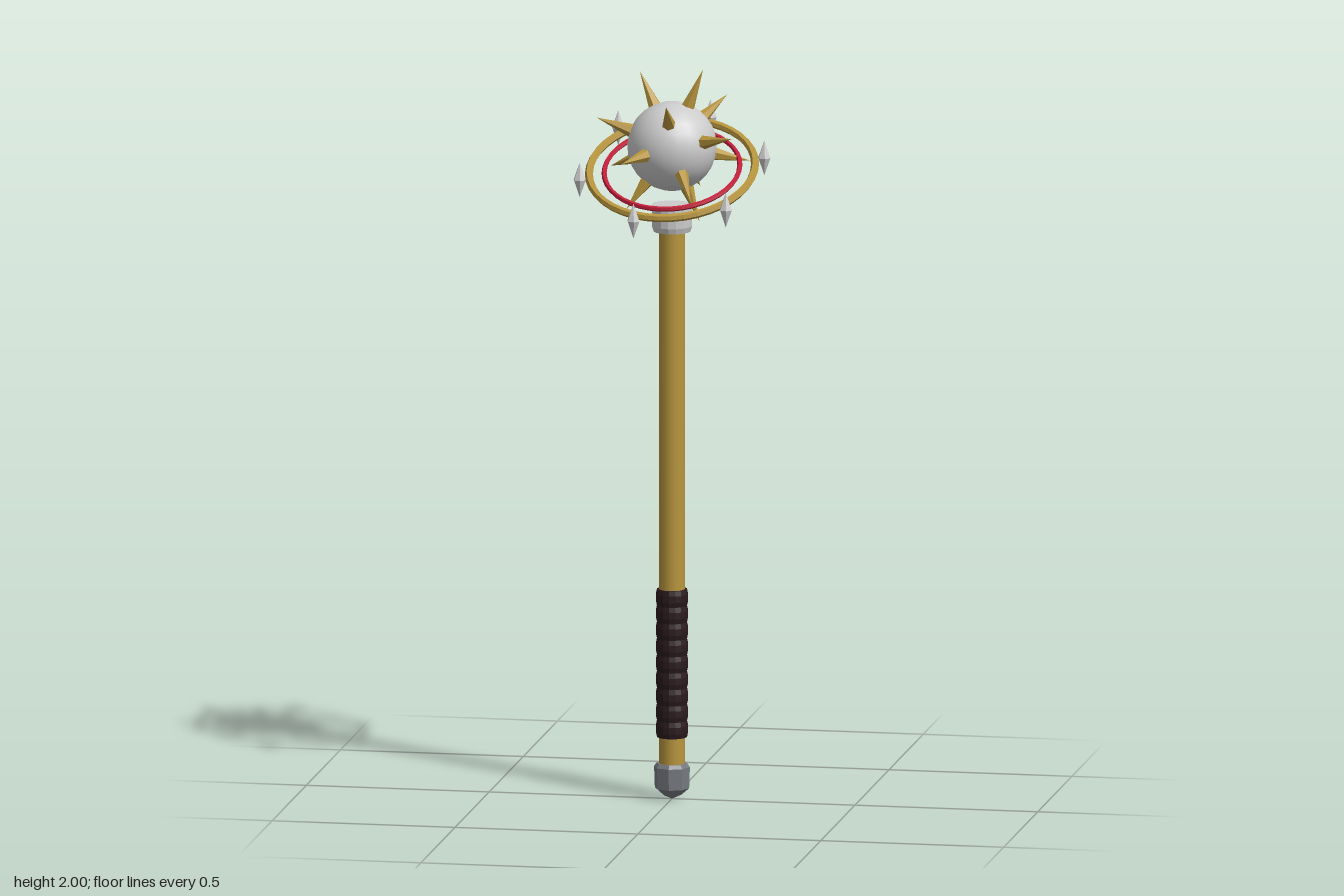
import * as THREE from 'three';

const mat = (color, flatShading = false) => new THREE.MeshStandardMaterial({ color, flatShading });
const steel = mat(0xcccccc);
const steelFlat = mat(0xcccccc, true);
const pommelSteel = mat(0x777a80, true);
const gold = mat(0xb8963e);
const goldFlat = mat(0xb8963e, true);
const red = mat(0xc41e3a, true);
const leather = mat(0x2a1a1e, true);

const BALL_Y = 1.788, RING_Y = 1.725, TILT = 0.44;

function add(parent, name, geometry, material) {
  const mesh = new THREE.Mesh(geometry, material);
  mesh.name = name;
  parent.add(mesh);
  return mesh;
}

// Profile points run from bottom to top as [radius, y]
const lathe = (points, sides) =>
  new THREE.LatheGeometry(points.map(([r, y]) => new THREE.Vector2(r, y)), sides);

export function createModel() {
  const model = new THREE.Group();
  model.name = 'spikedMace';

  // Shaft
  add(model, 'shaft', new THREE.CylinderGeometry(0.035, 0.035, 1.48, 16), gold).position.y = 0.83;

  // Faceted pommel
  add(model, 'pommel', lathe([[0, 0], [0.026, 0.012], [0.047, 0.03], [0.049, 0.088], [0.042, 0.098], [0, 0.098]], 8), pommelSteel);

  // Wrapped grip with shallow ridges
  const grip = [[0.034, 0.17]];
  const turns = 9, step = 0.405 / turns;
  for (let i = 0; i < turns; i++) {
    const y = 0.17 + i * step;
    grip.push([0.041, y], [0.044, y + step * 0.3], [0.044, y + step * 0.7]);
  }
  grip.push([0.041, 0.575], [0.034, 0.575]);
  add(model, 'grip', lathe(grip, 16), leather);

  // Collar at the top of the shaft
  add(model, 'collar', lathe([[0, 1.555], [0.05, 1.555], [0.055, 1.57], [0.055, 1.628], [0, 1.628]], 16), steelFlat);

  // Ball
  const head = new THREE.Group();
  head.name = 'head';
  head.position.y = BALL_Y;
  model.add(head);
  add(head, 'ball', new THREE.SphereGeometry(0.121, 20, 14), steel);

  // Spikes spread in a golden-angle spiral, given by the distance of each tip
  const reach = [0.229, 0.233, 0.215, 0.231, 0.217, 0.224, 0.234, 0.218, 0.218, 0.21, 0.23, 0.213, 0.211, 0.216];
  const up = new THREE.Vector3(0, 1, 0);
  const golden = Math.PI * (3 - Math.sqrt(5));
  reach.forEach((tip, i) => {
    const y = 1 - (2 * (i + 0.5)) / reach.length;
    const r = Math.sqrt(1 - y * y);
    const dir = new THREE.Vector3(r * Math.cos(golden * i), y, -r * Math.sin(golden * i));
    const base = 0.1;
    const spike = add(head, 'spike', new THREE.ConeGeometry(0.022, tip - base, 6), goldFlat);
    spike.position.copy(dir).multiplyScalar((tip + base) / 2);
    spike.quaternion.setFromUnitVectors(up, dir);
  });

  // Two tilted rings around the ball, lower at the front
  for (const [name, radius, tube, material] of [['outerRing', 0.224, 0.011, goldFlat], ['innerRing', 0.183, 0.007, red]]) {
    const geometry = new THREE.TorusGeometry(radius, tube, 6, 40).rotateX(Math.PI / 2 + TILT);
    add(model, name, geometry, material).position.y = RING_Y;
  }

  // Upright double-pointed crystals around the outer ring
  const crystal = lathe([[0, -0.048], [0.018, 0], [0, 0.048]], 6);
  for (let k = 0; k < 6; k++) {
    const a = Math.PI / 12 + (k * Math.PI) / 3;
    const gem = add(model, 'crystal', crystal, steelFlat);
    gem.position.set(0.25 * Math.cos(a), 0, -0.25 * Math.sin(a));
    gem.position.applyAxisAngle(new THREE.Vector3(1, 0, 0), TILT);
    gem.position.y += RING_Y;
    gem.rotation.y = a;
  }
  return model;
}
